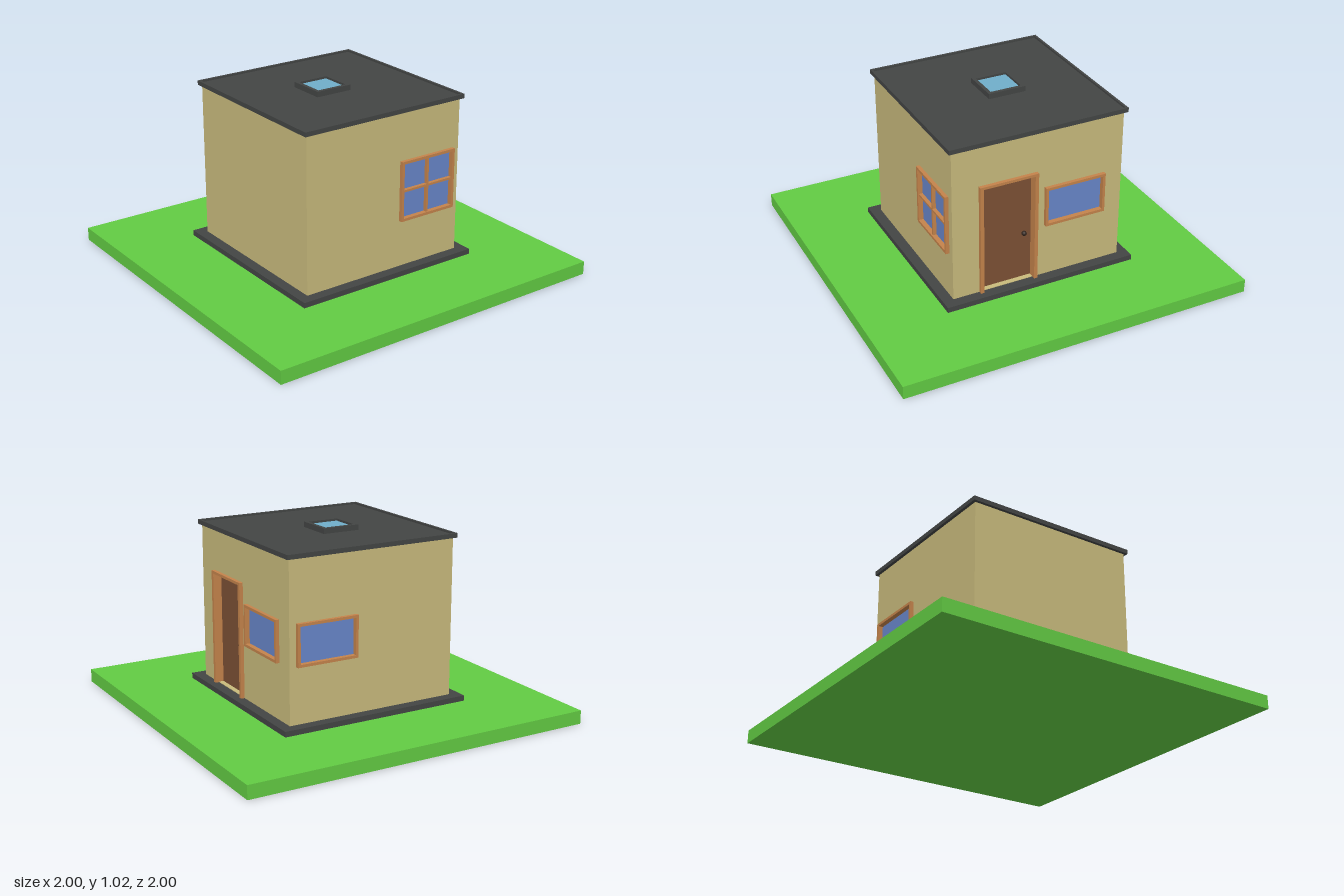
import * as THREE from 'three';

const paint = (color) => new THREE.MeshStandardMaterial({ color });
const mats = {
  grass: paint(0x62cb43), dark: paint(0x434544), wall: paint(0xc8ba7c), frame: paint(0xc4834b),
  door: paint(0x7c5034), glass: paint(0x6886c9), sky: paint(0x70aec9), knob: paint(0x33261f),
};
const HALF = 0.496, THICK = 0.05, BASE = 0.105, TOP = 0.985;

function add(parent, name, geometry, material, x = 0, y = 0, z = 0) {
  const mesh = new THREE.Mesh(geometry, material);
  mesh.name = name;
  mesh.position.set(x, y, z);
  parent.add(mesh);
  return mesh;
}

// Box given by its low and high corners
function box(parent, name, mat, [x0, y0, z0], [x1, y1, z1]) {
  return add(parent, name, new THREE.BoxGeometry(x1 - x0, y1 - y0, z1 - z0), mat,
    (x0 + x1) / 2, (y0 + y1) / 2, (z0 + z1) / 2);
}

function rect(Type, x0, y0, x1, y1) {
  return new Type([[x0, y0], [x1, y0], [x1, y1], [x0, y1]].map(([x, y]) => new THREE.Vector2(x, y)));
}

// Rectangular slab with rectangular holes, front face towards +z
function slab([x0, y0, x1, y1], holes, depth) {
  const shape = rect(THREE.Shape, x0, y0, x1, y1);
  shape.holes = holes.map((h) => rect(THREE.Path, ...h));
  return new THREE.ExtrudeGeometry(shape, { depth, bevelEnabled: false });
}

const inset = ([x0, y0, x1, y1], t) => [x0 + t, y0 + t, x1 - t, y1 - t];

// One side of the house, built facing +z and then turned into place
function side(parent, name, angle, halfWidth, holes) {
  const group = new THREE.Group();
  group.name = name;
  group.rotation.y = angle;
  parent.add(group);
  add(group, name + 'Wall', slab([-halfWidth, BASE, halfWidth, TOP], holes, THICK), mats.wall, 0, 0, HALF - THICK);
  return group;
}

function addWindow(group, r, barred) {
  const inner = inset(r, 0.015);
  add(group, 'windowFrame', slab(r, [inner], 0.057), mats.frame, 0, 0, 0.46);
  box(group, 'windowGlass', mats.glass, [inner[0], inner[1], 0.465], [inner[2], inner[3], 0.49]);
  if (!barred) return;
  const cx = (r[0] + r[2]) / 2, cy = (r[1] + r[3]) / 2, b = 0.006;
  box(group, 'windowUpright', mats.frame, [cx - b, inner[1], 0.48], [cx + b, inner[3], 0.51]);
  box(group, 'windowCrossbar', mats.frame, [inner[0], cy - b, 0.48], [inner[2], cy + b, 0.511]);
}

export function createModel() {
  const model = new THREE.Group();
  model.name = 'smallHouse';

  // Lawn and plinth
  box(model, 'lawn', mats.grass, [-1, 0, -1], [1, 0.075, 1]);
  box(model, 'plinth', mats.dark, [-0.555, 0.075, -0.555], [0.555, BASE, 0.555]);

  // Walls; the side walls fit between front and back
  const frontWindow = [0.1, 0.37, 0.457, 0.71];
  const backWindow = [-0.457, 0.415, -0.1, 0.645];
  const sideWindow = [0.035, 0.415, 0.39, 0.645];
  const doorway = [-0.345, BASE, -0.01, 0.75];
  const doorHole = [-0.335, BASE + 0.003, -0.02, 0.74];
  const front = side(model, 'front', 0, HALF, [inset(frontWindow, 0.008)]);
  const back = side(model, 'back', Math.PI, HALF, [inset(backWindow, 0.008)]);
  const right = side(model, 'doorSide', Math.PI / 2, HALF - THICK, [doorHole, inset(sideWindow, 0.008)]);
  side(model, 'plainSide', -Math.PI / 2, HALF - THICK, []);

  addWindow(front, frontWindow, true);
  addWindow(back, backWindow, false);
  addWindow(right, sideWindow, false);

  // Recessed door with its frame open at the foot
  const [dx0, dy0, dx1, dy1] = doorway, t = 0.02;
  box(right, 'doorPostLeft', mats.frame, [dx0, dy0, 0.45], [dx0 + t, dy1 - 0.015, 0.517]);
  box(right, 'doorPostRight', mats.frame, [dx1 - t, dy0, 0.45], [dx1, dy1 - 0.015, 0.517]);
  box(right, 'doorLintel', mats.frame, [dx0, dy1 - 0.015, 0.45], [dx1, dy1, 0.517]);
  box(right, 'door', mats.door, [dx0 + t, dy0 + 0.003, 0.445], [dx1 - t, dy1 - 0.015, 0.468]);
  add(right, 'doorKnob', new THREE.SphereGeometry(0.014, 16, 12), mats.knob, -0.075, 0.385, 0.482);

  // Flat roof with a raised rim
  box(model, 'roofDeck', mats.dark, [-0.505, 0.98, -0.505], [0.505, 0.994, 0.505]);
  const outer = [-0.513, -0.513, 0.513, 0.513];
  const rim = add(model, 'roofRim', slab(outer, [inset(outer, 0.013)], 0.025), mats.dark, 0, 0.98, 0);
  rim.rotation.x = -Math.PI / 2;

  // Skylight
  const skylight = new THREE.Group();
  skylight.name = 'skylight';
  skylight.position.set(-0.025, 0.99, -0.027);
  model.add(skylight);
  const curb = [-0.108, -0.108, 0.108, 0.108];
  add(skylight, 'skylightCurb', slab(curb, [inset(curb, 0.02)], 0.034), mats.dark).rotation.x = -Math.PI / 2;
  box(skylight, 'skylightGlass', mats.sky, [-0.088, 0, -0.088], [0.088, 0.022, 0.088]);

  return model;
}
